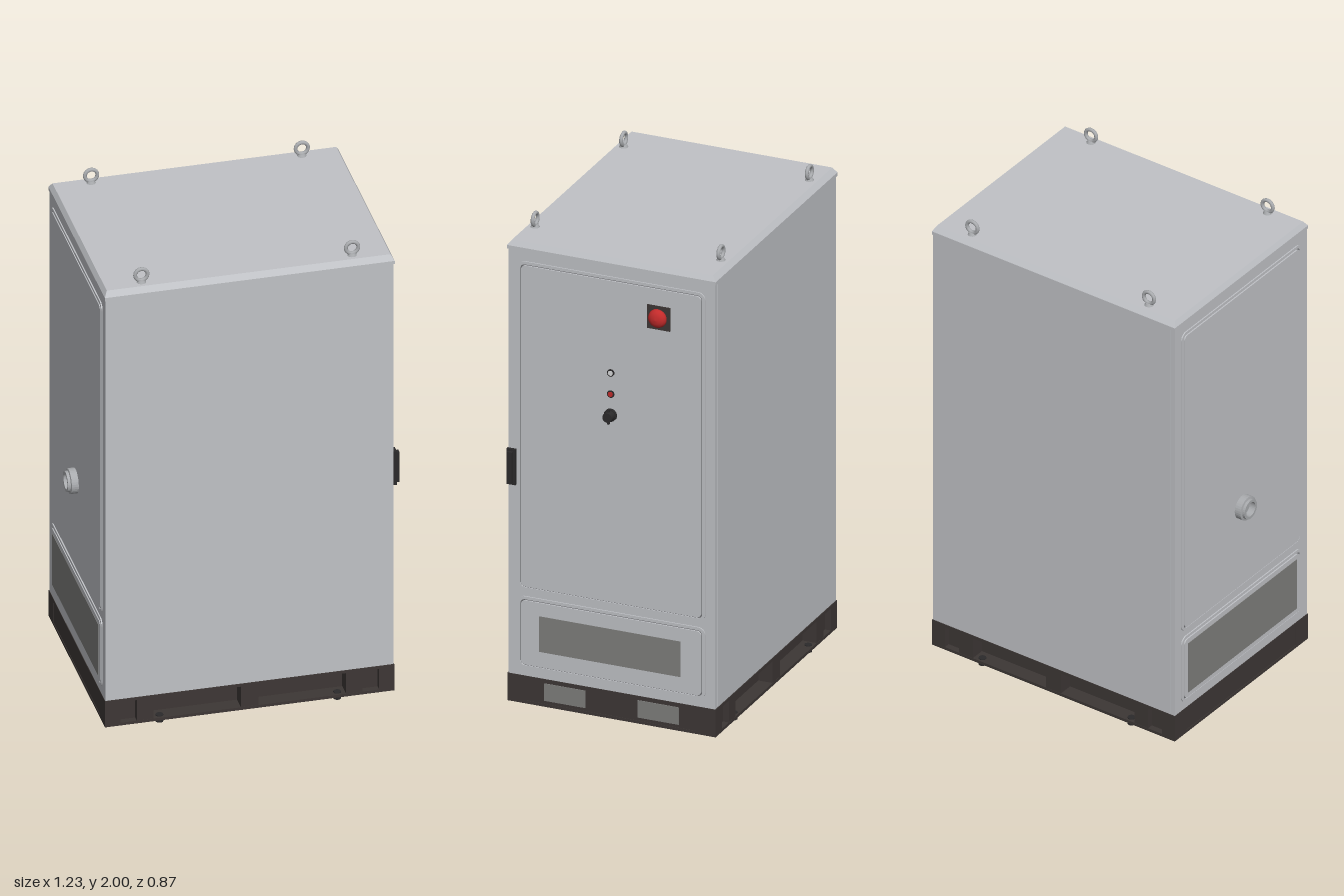
import * as THREE from 'three';

const mat = (name, color) => Object.assign(new THREE.MeshStandardMaterial({ color }), { name });

export function createModel() {
  const paint = mat('light grey paint', 0xc0c2c6);
  const seal = mat('grey seal', 0x6f7073);
  const mesh = mat('vent grey', 0x7e7e7c);
  const dark = mat('plinth brown black', 0x3d3735);
  const black = mat('black plastic', 0x2b2a2b);
  const red = mat('signal red', 0xc42b2b);
  const steel = mat('steel', 0xa9abae);
  const lamp = mat('lamp white', 0xd8d9da);

  const model = new THREE.Group();
  model.name = 'cabinet';

  const add = (parent, name, geo, material, x = 0, y = 0, z = 0) => {
    const m = new THREE.Mesh(geo, material);
    m.name = name;
    m.position.set(x, y, z);
    parent.add(m);
    return m;
  };
  const box = (parent, name, material, w, h, d, x, y, z) =>
    add(parent, name, new THREE.BoxGeometry(w, h, d), material, x, y, z);

  // Rounded rectangle between two corners
  const rounded = (w, y0, y1, r, Type = THREE.Shape) => {
    const s = new Type();
    s.moveTo(-w + r, y0);
    s.lineTo(w - r, y0);
    s.absarc(w - r, y0 + r, r, -Math.PI / 2, 0);
    s.absarc(w - r, y1 - r, r, 0, Math.PI / 2);
    s.absarc(-w + r, y1 - r, r, Math.PI / 2, Math.PI);
    s.absarc(-w + r, y0 + r, r, Math.PI, Math.PI * 1.5);
    return s;
  };
  const plate = (shape, depth) =>
    new THREE.ExtrudeGeometry(shape, { depth, bevelEnabled: false, curveSegments: 8 });

  // Body, big side sheets and bevelled roof
  box(model, 'body', paint, 1.136, 1.785, 0.864, 0, 1.0225, 0);
  for (const s of [-1, 1]) {
    box(model, s > 0 ? 'frontSheet' : 'backSheet', paint, 1.1, 1.765, 0.004, 0, 1.0195, s * 0.434);
  }
  const roofGeo = new THREE.BoxGeometry(1.142, 0.022, 0.872);
  const p = roofGeo.attributes.position;
  for (let i = 0; i < p.count; i++) {
    if (p.getY(i) > 0) {
      p.setX(i, p.getX(i) - Math.sign(p.getX(i)) * 0.012);
      p.setZ(i, p.getZ(i) - Math.sign(p.getZ(i)) * 0.017);
    }
  }
  roofGeo.computeVertexNormals();
  add(model, 'roof', roofGeo, paint, 0, 1.924, 0);
  box(model, 'roofRim', paint, 1.142, 0.014, 0.872, 0, 1.906, 0);

  // Lifting eyes
  for (const x of [-0.415, 0.415]) {
    for (const z of [-0.388, 0.388]) {
      const eye = new THREE.Group();
      eye.name = 'liftingEye';
      eye.position.set(x, 1.935, z);
      add(eye, 'eyeCollar', new THREE.CylinderGeometry(0.013, 0.018, 0.01, 20), steel, 0, 0.005, 0);
      add(eye, 'eyeRing', new THREE.TorusGeometry(0.0245, 0.0075, 10, 28), steel, 0, 0.033, 0);
      model.add(eye);
    }
  }

  // Each end is drawn facing +z, then turned to face outwards
  const makeEnd = (name, s) => {
    const end = new THREE.Group();
    end.name = name;
    end.position.x = s * 0.568;
    end.rotation.y = s * Math.PI / 2;
    model.add(end);
    for (const [part, y0, y1] of [['door', 0.488, 1.858], ['lowerPanel', 0.163, 0.462]]) {
      const rim = rounded(0.392, y0, y1, 0.03);
      rim.holes.push(rounded(0.38, y0 + 0.012, y1 - 0.012, 0.02, THREE.Path));
      add(end, part + 'Rim', plate(rim, 0.005), paint);
      add(end, part + 'Seal', plate(rounded(0.381, y0 + 0.011, y1 - 0.011, 0.021), 0.001), seal);
      add(end, part, plate(rounded(0.376, y0 + 0.016, y1 - 0.016, 0.018), 0.007), paint);
    }
    return end;
  };
  const disc = (parent, name, material, r0, r1, depth, u, y, z, sides = 28) => {
    const g = new THREE.CylinderGeometry(r1, r0, depth, sides);
    g.rotateX(Math.PI / 2);
    return add(parent, name, g, material, u, y, z + depth / 2);
  };

  // Control end
  const control = makeEnd('controlEnd', 1);
  box(control, 'vent', mesh, 0.59, 0.148, 0.002, -0.004, 0.317, 0.0075);
  box(control, 'stopPlate', dark, 0.096, 0.098, 0.004, 0.2, 1.725, 0.009);
  disc(control, 'stopNeck', red, 0.024, 0.024, 0.012, 0.2, 1.727, 0.01);
  const dome = [[0, 0.044], [0.016, 0.042], [0.029, 0.036], [0.036, 0.027], [0.038, 0.018], [0.034, 0.013], [0, 0.013]];
  const domeGeo = new THREE.LatheGeometry(dome.reverse().map(([r, h]) => new THREE.Vector2(r, h)), 32);
  domeGeo.rotateX(Math.PI / 2);
  add(control, 'stopButton', domeGeo, red, 0.2, 1.727, 0);
  for (const [name, y, m] of [['whiteLamp', 1.46, lamp], ['redLamp', 1.372, red]]) {
    disc(control, name + 'Ring', black, 0.0145, 0.0145, 0.007, 0, y, 0.006);
    disc(control, name, m, 0.0115, 0.01, 0.009, 0, y, 0.006);
  }
  disc(control, 'switchBase', black, 0.026, 0.026, 0.012, 0, 1.285, 0.006, 12);
  disc(control, 'switchKnob', black, 0.022, 0.02, 0.026, 0, 1.285, 0.018, 12);
  box(control, 'switchPointer', black, 0.008, 0.062, 0.008, 0, 1.285, 0.03);
  box(control, 'handleBase', black, 0.036, 0.148, 0.012, -0.416, 0.995, 0.006);
  box(control, 'handleGrip', black, 0.022, 0.13, 0.012, -0.418, 0.995, 0.018);

  // Connector end
  const connector = makeEnd('connectorEnd', -1);
  box(connector, 'wideVent', mesh, 0.71, 0.225, 0.002, 0, 0.312, 0.0075);
  const port = [[0, 0.02], [0.03, 0.02], [0.03, 0.047], [0.041, 0.047], [0.041, 0.036], [0.05, 0.034], [0.05, 0.004]];
  const portGeo = new THREE.LatheGeometry(port.reverse().map(([r, h]) => new THREE.Vector2(r, h)), 32)
    .toNonIndexed();
  portGeo.computeVertexNormals();
  portGeo.rotateX(Math.PI / 2);
  add(connector, 'outlet', portGeo, steel, 0, 0.862, 0);

  // Plinth: plates, ends, posts and recessed fork openings
  const plinth = new THREE.Group();
  plinth.name = 'plinth';
  model.add(plinth);
  box(plinth, 'floorPlate', dark, 1.14, 0.012, 0.87, 0, 0.021, 0);
  box(plinth, 'topPlate', dark, 1.14, 0.012, 0.87, 0, 0.124, 0);
  box(plinth, 'core', dark, 1.12, 0.1, 0.75, 0, 0.0725, 0);
  for (const s of [-1, 1]) {
    box(plinth, 'endBeam', dark, 0.015, 0.1, 0.72, s * 0.5605, 0.0725, 0);
    for (const z of [-1, 1]) {
      box(plinth, 'cornerPost', dark, 0.06, 0.1, 0.077, s * 0.54, 0.0725, z * 0.3965);
      box(plinth, 'cornerWeb', dark, 0.066, 0.1, 0.04, s * 0.478, 0.0725, z * 0.39);
      box(plinth, 'sidePost', dark, 0.065, 0.1, 0.07, s * 0.412, 0.0725, z * 0.399);
      add(plinth, 'foot', new THREE.CylinderGeometry(0.015, 0.015, 0.03, 16), black, s * 0.35, 0.015, z * 0.412);
    }
    box(plinth, 'middlePost', dark, 0.07, 0.1, 0.07, 0, 0.0725, s * 0.399);
    box(plinth, 'plinthVent', mesh, 0.004, 0.072, 0.172, 0.569, 0.076, s * 0.195);
  }

  return model;
}
